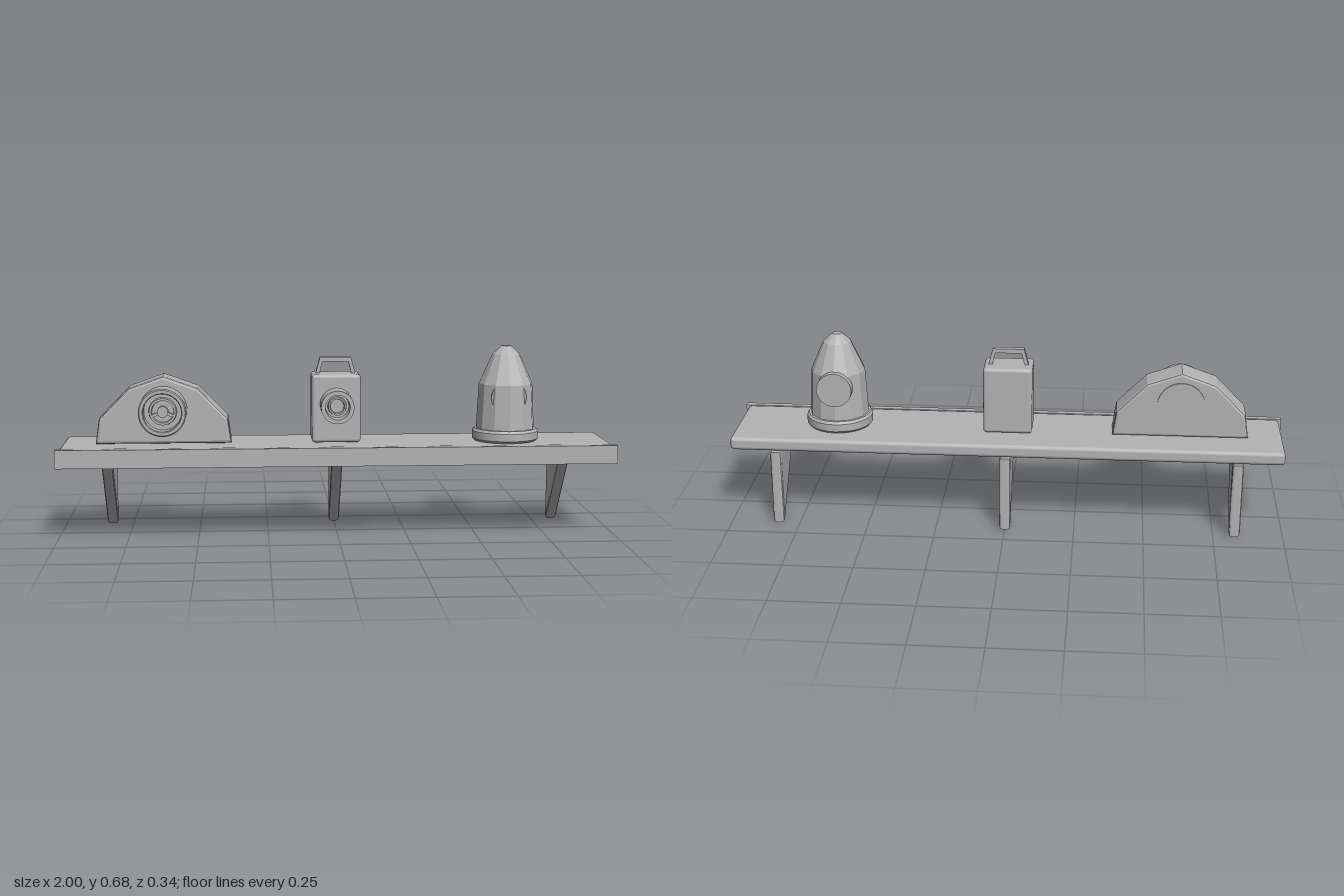
import * as THREE from 'three';
import { toCreasedNormals } from 'three/addons/utils/BufferGeometryUtils.js';
import { RoundedBoxGeometry } from 'three/addons/geometries/RoundedBoxGeometry.js';

const grey = new THREE.MeshStandardMaterial({ color: 0xb3b3b3 });
grey.name = 'plain grey';

export function createModel() {
  const model = new THREE.Group();
  model.name = 'shelfWithOrnaments';

  const group = (name, x, y, z) => {
    const g = new THREE.Group();
    g.name = name;
    g.position.set(x, y, z);
    model.add(g);
    return g;
  };
  const add = (parent, name, geometry, x = 0, y = 0, z = 0) => {
    const mesh = new THREE.Mesh(geometry, grey);
    mesh.name = name;
    mesh.position.set(x, y, z);
    parent.add(mesh);
    return mesh;
  };
  const rounded = (x0, x1, y0, y1, z0, z1, r) =>
    new RoundedBoxGeometry(x1 - x0, y1 - y0, z1 - z0, 2, r)
      .translate((x0 + x1) / 2, (y0 + y1) / 2, (z0 + z1) / 2);
  const lathe = (points, sides, crease) => toCreasedNormals(
    new THREE.LatheGeometry(points.map(([r, y]) => new THREE.Vector2(r, y)), sides), crease);
  // Outline extruded about z = 0 with its bevel kept inside the outline
  const slab = (points, depth, bevel) => new THREE.ExtrudeGeometry(
    new THREE.Shape(points.map(([x, y]) => new THREE.Vector2(x, y))), {
      depth: depth - 2 * bevel, bevelEnabled: true, bevelThickness: bevel,
      bevelSize: bevel, bevelOffset: -bevel, bevelSegments: 2,
    }).translate(0, 0, bevel - depth / 2);

  // Shelf board and front lip
  add(model, 'shelfBoard', rounded(-0.99, 0.99, 0.283, 0.331, -0.17, 0.152, 0.014));
  add(model, 'shelfLip', new THREE.BoxGeometry(2, 0.066, 0.022), 0, 0.298, 0.159);

  // Triangular brackets
  const bracket = slab([[-0.168, 0], [0.07, 0.279], [-0.168, 0.279]], 0.04, 0.01)
    .rotateY(-Math.PI / 2);
  for (const x of [-0.827, 0, 0.827]) add(model, 'bracket', bracket, x);

  // Mantel clock with a faceted case
  const clock = group('mantelClock', -0.622, 0, 0.002);
  const half = [[0.243, 0.335], [0.23, 0.425], [0.123, 0.534], [0, 0.578]];
  const outline = [...half, ...half.slice(0, 3).reverse().map(([x, y]) => [-x, y])];
  add(clock, 'clockCase', slab(outline, 0.115, 0.01));
  const dial = add(clock, 'clockDial', lathe([
    [0, -0.062], [0.085, -0.062], [0.085, 0.142], [0.081, 0.145], [0.07, 0.145], [0.067, 0.142],
    [0.067, 0.095], [0.05, 0.095], [0.048, 0.11], [0.04, 0.11], [0.038, 0.095], [0, 0.095],
  ], 32, 0.6), 0, 0.457);
  dial.rotation.x = Math.PI / 2;
  const hub = add(clock, 'clockHub', new THREE.CylinderGeometry(0.02, 0.02, 0.02, 16), 0, 0.457, 0.105);
  hub.rotation.x = Math.PI / 2;
  for (const side of [-1, 1]) {
    const hand = add(clock, 'clockHand', new THREE.BoxGeometry(0.03, 0.01, 0.014), side * 0.027, 0.446, 0.102);
    hand.rotation.z = -side * 0.4;
  }

  // Lantern with a lens barrel and a carrying handle
  const lantern = group('lantern', -0.003, 0, 0);
  add(lantern, 'lanternBody', rounded(-0.088, 0.088, 0.334, 0.58, -0.064, 0.064, 0.012));
  const barrel = add(lantern, 'lanternLens', lathe([
    [0, 0.04], [0.059, 0.04], [0.059, 0.155], [0.044, 0.155], [0.042, 0.11],
    [0.034, 0.11], [0.032, 0.125], [0.026, 0.125], [0.024, 0.11], [0, 0.11],
  ], 32, 0.6), 0, 0.473);
  barrel.rotation.x = Math.PI / 2;
  const handleShape = new THREE.Shape([[-0.073, 0.575], [0.073, 0.575], [0.056, 0.638], [-0.056, 0.638]]
    .map(([x, y]) => new THREE.Vector2(x, y)));
  handleShape.holes.push(new THREE.Path([[-0.058, 0.57651], [-0.047, 0.622], [0.047, 0.622], [0.058, 0.57651]]
    .map(([x, y]) => new THREE.Vector2(x, y))));
  add(lantern, 'lanternHandle', new THREE.ExtrudeGeometry(handleShape,
    { depth: 0.02, bevelEnabled: false }).translate(0, 0, -0.01));

  // Domed lamp: round plinth, twelve-sided body and a drum through its middle
  const lamp = group('domedLamp', 0.617, 0, 0.01);
  add(lamp, 'lampPlinth', lathe([
    [0, 0.333], [0.113, 0.333], [0.12, 0.341], [0.12, 0.368], [0.113, 0.377], [0, 0.377],
  ], 24, 0.5));
  add(lamp, 'lampBody', lathe([
    [0, 0.37], [0.107, 0.37], [0.098, 0.54], [0.05, 0.647], [0.017, 0.677], [0, 0.677],
  ], 12, 0.3));
  const drum = add(lamp, 'lampDrum', new THREE.CylinderGeometry(0.063, 0.063, 0.192, 32), 0, 0.496, -0.014);
  drum.rotation.x = Math.PI / 2;

  return model;
}
